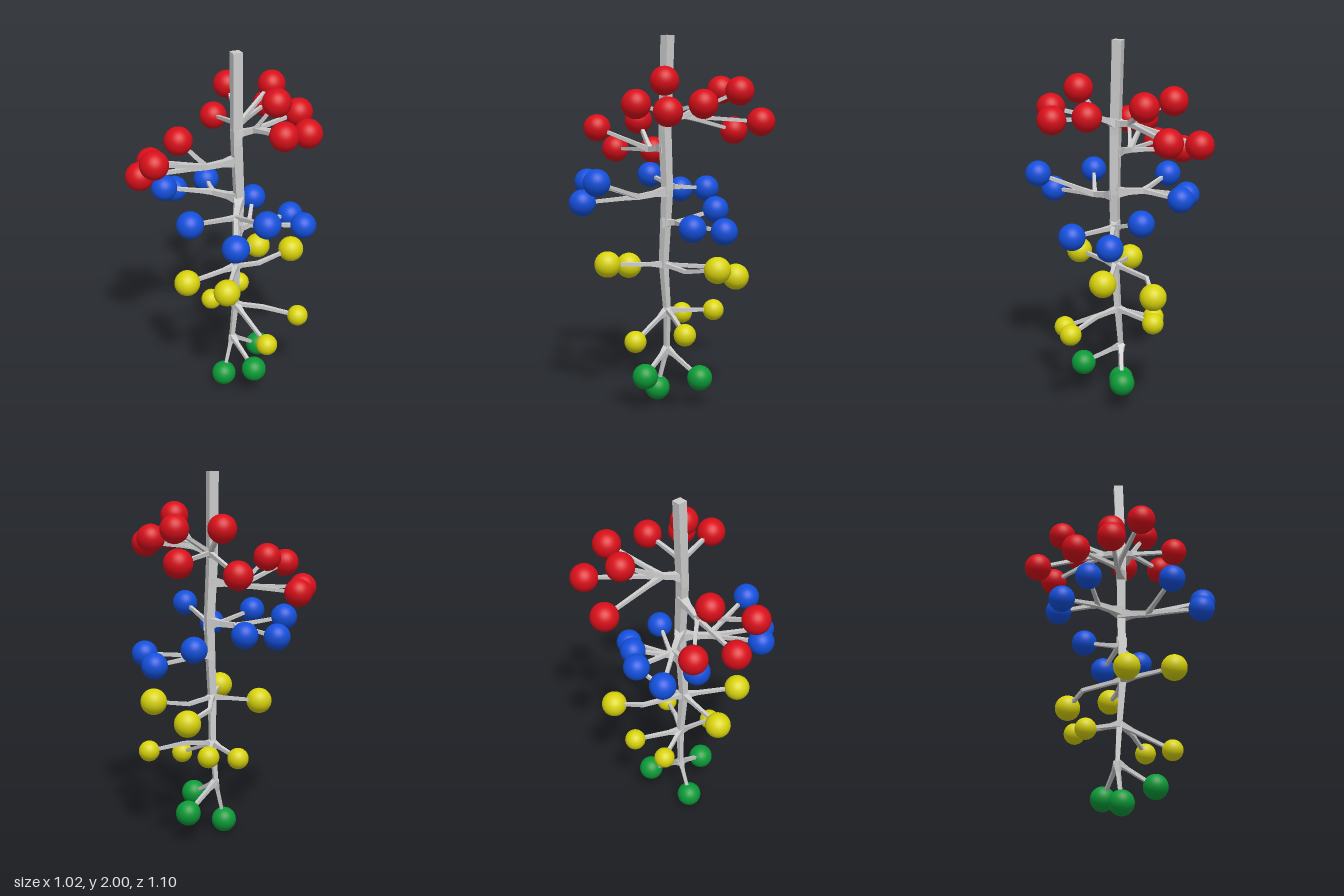
import * as THREE from 'three';

const V = (p) => new THREE.Vector3(...p);
const grey = new THREE.MeshStandardMaterial({ color: 0xcccccc, flatShading: true });
const RED = 0xd80f1a, BLUE = 0x1450dc, YELLOW = 0xd8d30c, GREEN = 0x0c9a38;

// Square-section limb through the points, with one radius per point
function limb(name, pts, radii, twist = Math.PI / 4) {
  const pos = [], idx = [], n = pts.length;
  const along = pts[n - 1].clone().sub(pts[0]).normalize();
  const ref = Math.abs(along.y) > 0.9 ? V([0, 0, 1]) : V([0, 1, 0]);
  pts.forEach((p, i) => {
    const dir = pts[Math.min(i + 1, n - 1)].clone().sub(pts[Math.max(i - 1, 0)]).normalize();
    const a = ref.clone().cross(dir).normalize();
    const b = dir.clone().cross(a);
    for (let k = 0; k < 4; k++) {
      const t = twist + k * Math.PI / 2;
      const q = p.clone().addScaledVector(a, radii[i] * Math.cos(t)).addScaledVector(b, radii[i] * Math.sin(t));
      pos.push(q.x, q.y, q.z);
      if (i < n - 1) {
        const u = i * 4 + k, v = i * 4 + (k + 1) % 4;
        idx.push(u, v, u + 4, v, v + 4, u + 4);
      }
    }
  });
  const e = (n - 1) * 4;
  idx.push(0, 2, 1, 0, 3, 2, e, e + 1, e + 2, e, e + 2, e + 3);
  const geo = new THREE.BufferGeometry();
  geo.setAttribute('position', new THREE.Float32BufferAttribute(pos, 3));
  geo.setIndex(idx);
  geo.computeVertexNormals();
  const mesh = new THREE.Mesh(geo, grey);
  mesh.name = name;
  return mesh;
}

// Gently wandering trunk line, from bottom to top
const trunk = [
  [0.043, 0.28, 0], [0.063, 0.52, 0.005], [0.065, 0.78, 0.025],
  [0.08, 1.18, 0.01], [0.065, 1.5, 0.018], [0.06, 2, 0.002],
].map(V);

function trunkAt(y) {
  const i = trunk.findIndex((p) => p.y >= y);
  const lo = trunk[i - 1], hi = trunk[i];
  return lo.clone().lerp(hi, (y - lo.y) / (hi.y - lo.y));
}

// Balls on twigs. With a reach, the twigs fork from a stem that runs that
// share of the way from the trunk to the middle of the balls, less a sag.
// A bend maps a ball's index to a kink in its twig.
function cluster(name, color, radius, height, balls, { reach = 0, sag = 0, bend = {} } = {}) {
  const group = new THREE.Group();
  group.name = name;
  const ends = balls.map(V);
  const base = trunkAt(height);
  const middle = ends.reduce((sum, p) => sum.add(p), V([0, 0, 0])).divideScalar(ends.length);
  const fork = base.clone().lerp(middle, reach);
  fork.y -= sag;
  if (reach) {
    group.add(limb('stem', [base, base.clone().lerp(fork, 0.45), fork], [0.042, 0.023, 0.02]));
  }
  const ballGeo = new THREE.SphereGeometry(radius, 32, 20);
  const ballMat = new THREE.MeshStandardMaterial({ color });
  ends.forEach((end, i) => {
    const kink = bend[i] ? [V(bend[i])] : [];
    const next = fork.clone().lerp(kink[0] || end, 0.25);
    const radii = [reach ? 0.02 : 0.026, 0.015, ...kink.map(() => 0.015), 0.012];
    group.add(limb('twig', [fork, next, ...kink, end], radii));
    const ball = new THREE.Mesh(ballGeo, ballMat);
    ball.name = 'ball';
    ball.position.copy(end);
    group.add(ball);
  });
  return group;
}

export function createModel() {
  const model = new THREE.Group();

  // Trunk, thickening quickly from the bottom and then evening out
  const trunkRadii = trunk.map((p) => 0.037 - 0.021 * ((2 - p.y) / 1.72) ** 2);
  model.add(limb('trunk', trunk, trunkRadii, Math.PI / 4 + 0.42));

  // Low tiers, whose twigs leave the trunk directly
  model.add(cluster('greenCluster', GREEN, 0.068, 0.3,
    [[0, 0.07, 0.04], [0.175, 0.19, 0.165], [0.19, 0.16, -0.14]]));
  model.add(cluster('lowerYellowCluster', YELLOW, 0.058, 0.52,
    [[-0.08, 0.465, -0.13], [0.075, 0.505, -0.26], [0.245, 0.405, 0.24], [0.415, 0.465, 0.025]],
    { bend: { 3: [0.22, 0.512, 0.02] } }));
  model.add(cluster('upperYellowCluster', YELLOW, 0.071, 0.775,
    [[-0.195, 0.73, 0.145], [0.03, 0.785, 0.33], [0.18, 0.705, -0.35], [0.37, 0.785, -0.17]],
    { bend: { 2: [0.07, 0.75, -0.21], 3: [0.19, 0.75, -0.06] } }));

  // Middle tier
  model.add(cluster('leftBlueCluster', BLUE, 0.071, 1.005,
    [[0.15, 1.075, -0.24], [0.36, 0.985, -0.21], [0.43, 1.02, -0.01]], { reach: 0.25 }));
  model.add(cluster('frontBlueCluster', BLUE, 0.071, 1.175,
    [[-0.155, 1.215, 0.39], [0.08, 1.13, 0.478], [0.235, 1.25, 0.44]], { reach: 0.37, sag: 0.035 }));
  model.add(cluster('rightBlueCluster', BLUE, 0.071, 1.19,
    [[-0.115, 1.16, -0.285], [-0.285, 1.14, -0.19], [-0.325, 1.225, -0.02]], { reach: 0.45 }));

  // Top tier
  model.add(cluster('rightRedCluster', RED, 0.076, 1.41,
    [[-0.235, 1.54, 0.075], [-0.4, 1.36, -0.062], [-0.433, 1.37, 0.153], [-0.34, 1.495, 0.285]],
    { reach: 0.38, sag: 0.035 }));
  model.add(cluster('backRedCluster', RED, 0.076, 1.56,
    [[-0.082, 1.483, -0.435], [0.215, 1.545, -0.472], [0, 1.71, -0.325], [0.242, 1.71, -0.338]],
    { reach: 0.26 }));
  model.add(cluster('leftRedCluster', RED, 0.076, 1.56,
    [[0.385, 1.65, -0.082], [0.432, 1.615, 0.123], [0.27, 1.765, 0.088], [0.31, 1.65, 0.252]],
    { reach: 0.33 }));

  return model;
}
